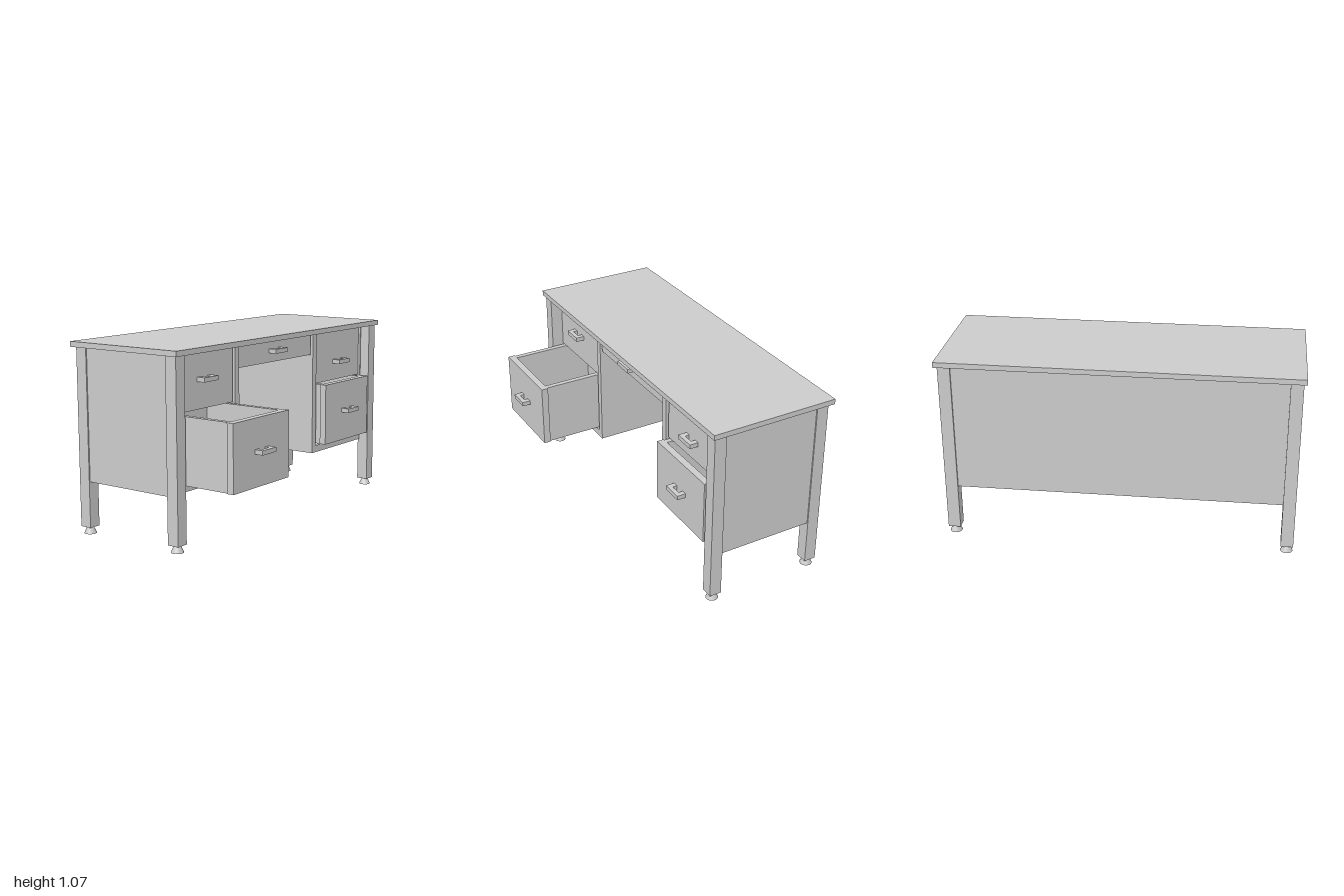
import * as THREE from 'three';

const grey = new THREE.MeshStandardMaterial({ color: 0xcccccc });

// Box given by its min and max on each axis
function box(name, x0, x1, y0, y1, z0, z1) {
  const mesh = new THREE.Mesh(new THREE.BoxGeometry(x1 - x0, y1 - y0, z1 - z0), grey);
  mesh.name = name;
  mesh.position.set((x0 + x1) / 2, (y0 + y1) / 2, (z0 + z1) / 2);
  return mesh;
}

// U-shaped pull, standing out along +z from its mounting face
function handle(x, y, z) {
  const s = new THREE.Shape();
  const pts = [[-0.06, 0], [-0.03, 0], [-0.03, 0.025], [0.03, 0.025], [0.03, 0], [0.06, 0], [0.06, 0.05], [-0.06, 0.05]];
  s.setFromPoints(pts.map(([a, b]) => new THREE.Vector2(a, b)));
  const geo = new THREE.ExtrudeGeometry(s, { depth: 0.025, bevelEnabled: false });
  geo.rotateX(Math.PI / 2);
  const mesh = new THREE.Mesh(geo, grey);
  mesh.name = 'handle';
  mesh.position.set(x, y + 0.0125, z);
  return mesh;
}

// Open-topped drawer whose front face lies at z
function drawer(name, x0, x1, y0, y1, z, depth, handleX, handleY) {
  const g = new THREE.Group();
  g.name = name;
  const f = z - 0.04, b = z - depth, a = x0 + 0.008, c = x1 - 0.008, t = 0.03;
  g.add(
    box('drawerFront', x0, x1, y0, y1, f, z),
    box('drawerSide', a, a + t, y0, y1, b, f),
    box('drawerSide', c - t, c, y0, y1, b, f),
    box('drawerBack', a + t, c - t, y0, y1, b, b + t),
    box('drawerBottom', a + t, c - t, y0, y0 + 0.02, b + t, f),
    handle(handleX, handleY, z)
  );
  return g;
}

export function createModel() {
  const desk = new THREE.Group();
  desk.name = 'desk';
  desk.add(box('desktop', -1, 1, 1.04, 1.07, -0.545, 0.2));

  // Legs with flared feet
  for (const x of [-0.95, 0.95]) {
    for (const z of [0.15, -0.48]) {
      desk.add(box('leg', x - 0.035, x + 0.035, 0.04, 1.04, z - 0.035, z + 0.035));
      const foot = new THREE.Mesh(new THREE.CylinderGeometry(0.017, 0.035, 0.04, 20), grey);
      foot.name = 'foot';
      foot.position.set(x, 0.02, z);
      desk.add(foot);
    }
  }

  // Outer panels
  const back = -0.49, front = 0.125;
  desk.add(
    box('backPanel', -0.915, 0.915, 0.3, 1.04, -0.505, back),
    box('leftSidePanel', 0.908, 0.978, 0.3, 1.04, -0.445, front),
    box('rightSidePanel', -0.978, -0.918, 0.3, 1.04, -0.445, front)
  );

  // Pedestal inner walls and floors
  desk.add(
    box('rightInnerWall', -0.412, -0.375, 0.3, 1.04, back, front),
    box('leftInnerWall', 0.36, 0.4, 0.3, 1.04, back, front),
    box('rightPedestalFloor', -0.918, -0.412, 0.3, 0.342, back, front),
    box('leftPedestalFloor', 0.4, 0.908, 0.3, 0.342, back, front)
  );

  // Pedestal drawers: both lower ones are pulled out
  desk.add(
    drawer('rightUpperDrawer', -0.913, -0.423, 0.725, 1.036, 0.115, 0.56, -0.67, 0.887),
    drawer('rightLowerDrawer', -0.913, -0.423, 0.352, 0.72, 0.493, 0.56, -0.67, 0.543),
    drawer('leftUpperDrawer', 0.412, 0.902, 0.725, 1.036, 0.115, 0.56, 0.657, 0.84),
    drawer('leftLowerDrawer', 0.412, 0.902, 0.352, 0.72, 0.187, 0.56, 0.657, 0.54),
    drawer('centreDrawer', -0.367, 0.35, 0.907, 1.036, 0.115, 0.5, -0.02, 0.973)
  );
  return desk;
}
